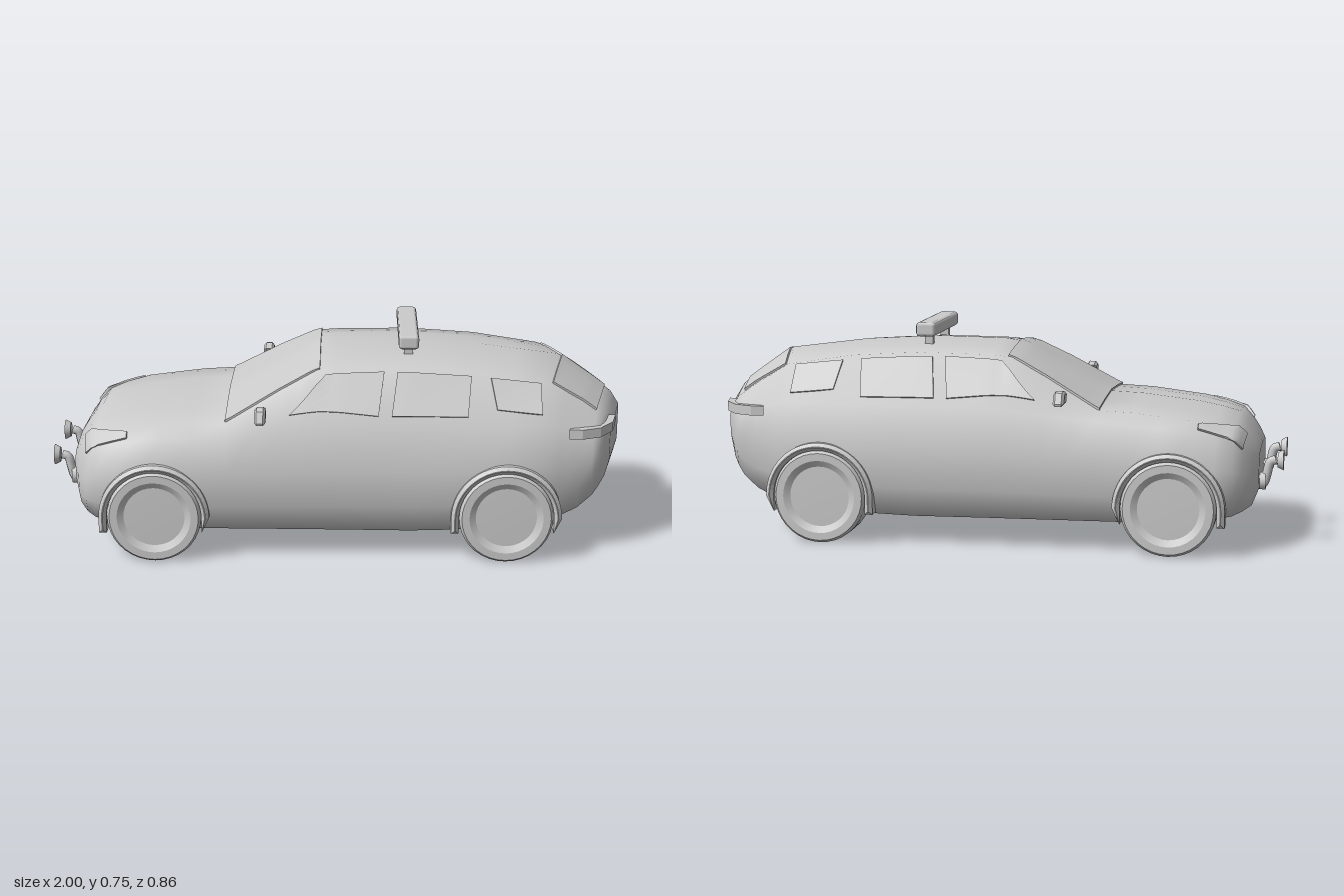
import * as THREE from 'three';
import { toCreasedNormals } from 'three/addons/utils/BufferGeometryUtils.js';
import { RoundedBoxGeometry } from 'three/addons/geometries/RoundedBoxGeometry.js';

const material = new THREE.MeshStandardMaterial({ color: 0xcccccc, side: THREE.DoubleSide });

function add(parent, name, geometry, x = 0, y = 0, z = 0) {
  const mesh = new THREE.Mesh(geometry, material);
  mesh.name = name;
  mesh.position.set(x, y, z);
  parent.add(mesh);
  return mesh;
}

// Piecewise linear curve through [x, value] keys
function curve(keys) {
  return x => {
    if (x <= keys[0][0]) return keys[0][1];
    for (let i = 1; i < keys.length; i++) {
      const [a, va] = keys[i - 1], [b, vb] = keys[i];
      if (x <= b) return va + (vb - va) * (x - a) / (b - a);
    }
    return keys[keys.length - 1][1];
  };
}

// Body lines along the length; the car drives towards -x
const topY = curve([[-.92, .34], [-.89, .39], [-.85, .443], [-.74, .473], [-.5, .5], [-.38, .505],
  [-.2, .6], [-.07, .675], [0, .685], [.25, .688], [.5, .672], [.78, .635], [.9, .55], [.97, .498], [1, .45]]);
const bottomY = curve([[-.92, .2], [-.9, .15], [-.82, .112], [-.5, .09], [.3, .08], [.7, .1],
  [.83, .122], [.9, .155], [.95, .2], [.985, .26], [1, .32]]);
const edgeDrop = curve([[-.92, .012], [-.84, .022], [-.38, .022], [-.2, .016], [-.07, .026], [0, .03], [.78, .03],
  [.9, .014], [1, .01]]);
const edgeW = curve([[-.92, .16], [-.9, .2], [-.84, .26], [-.7, .312], [-.38, .325], [-.2, .287],
  [-.05, .25], [.78, .247], [.9, .26], [.97, .27], [1, .22]]);
const beltY = curve([[-.92, .315], [-.84, .395], [-.7, .425], [-.38, .45], [0, .48], [.78, .48], [.97, .455], [1, .425]]);
const beltW = curve([[-.92, .19], [-.9, .24], [-.84, .322], [-.7, .362], [-.38, .362], [0, .355], [.78, .345],
  [.97, .315], [1, .25]]);
const midW = curve([[-.92, .2], [-.9, .275], [-.87, .335], [-.82, .374], [-.7, .391], [.5, .391], [.78, .377],
  [.97, .325], [1, .26]]);
const sweep = curve([[.45, 0], [.8, .23], [1, .23]]);
const stations = [-.92, -.9, -.87, -.84, -.78, -.7, -.6, -.5, -.38, -.29, -.2, -.13, -.07, 0, .12,
  .25, .38, .5, .64, .78, .84, .9, .95, .97, .985, 1];

// Half section from roof centre to floor centre, as [z, y]
function section(s) {
  const top = topY(s), drop = edgeDrop(s), low = bottomY(s), belt = beltY(s), w = midW(s);
  const at = f => low + (belt - low) * f;
  return [[0, top], [edgeW(s) * .55, top - drop * .45], [edgeW(s), top - drop], [beltW(s), belt],
    [w, at(.62)], [w - .005, at(.3)], [w - .04, at(.05)], [0, low]];
}

// Body surface point; t runs 0..7 down the +z side, negative on the other side
function surface(s, t) {
  const ring = section(s), a = Math.min(Math.abs(t), 7), i = Math.min(Math.floor(a), 6), f = a - i;
  const z = ring[i][0] * (1 - f) + ring[i + 1][0] * f;
  const y = ring[i][1] * (1 - f) + ring[i + 1][1] * f;
  return new THREE.Vector3(s - sweep(s) * z, y, t < 0 ? -z : z);
}

// Section parameter of a given height on the side
function sideT(s, y) {
  const ring = section(s);
  for (let i = 1; i < 7; i++) {
    if (y >= ring[i + 1][1]) return i + (ring[i][1] - y) / (ring[i][1] - ring[i + 1][1]);
  }
  return 6;
}

function mesh(points, index, crease) {
  const geometry = new THREE.BufferGeometry().setFromPoints(points);
  geometry.setIndex(index);
  return toCreasedNormals(geometry, crease);
}

function bodyGeometry() {
  const points = [], index = [], n = 14, last = stations.length - 1;
  for (const s of stations) {
    for (let j = 0; j < n; j++) points.push(surface(s, j <= 7 ? j : j - n));
  }
  for (let i = 0; i < last; i++) {
    for (let j = 0; j < n; j++) {
      const a = i * n + j, c = i * n + (j + 1) % n;
      index.push(a, c, a + n, c, c + n, a + n);
    }
  }
  // Nose and tail caps
  for (const i of [0, last]) {
    const centre = points.length;
    const s = stations[i];
    points.push(new THREE.Vector3(s, (topY(s) + bottomY(s)) / 2, 0));
    for (let j = 0; j < n; j++) {
      const a = i * n + j, b = i * n + (j + 1) % n;
      if (i) index.push(centre, a, b); else index.push(centre, b, a);
    }
  }
  return mesh(points, index, 1.2);
}

// Thin panel hugging the body between four [s, t] corners
function panel(corners) {
  const points = [], index = [], nu = 12, nv = 8, cols = nv + 3;
  const [p, q, r, o] = corners;
  for (let i = -1; i <= nu + 1; i++) {
    for (let j = -1; j <= nv + 1; j++) {
      const u = THREE.MathUtils.clamp(i / nu, 0, 1), v = THREE.MathUtils.clamp(j / nv, 0, 1);
      const [s, t] = [0, 1].map(k => (p[k] * (1 - u) + q[k] * u) * (1 - v) + (o[k] * (1 - u) + r[k] * u) * v);
      const ds = surface(s + .004, t).sub(surface(s - .004, t));
      const dt = surface(s, t + .02).sub(surface(s, t - .02));
      const rim = i < 0 || j < 0 || i > nu || j > nv;
      points.push(surface(s, t).addScaledVector(dt.cross(ds).normalize(), rim ? -.004 : .007));
    }
  }
  for (let i = 0; i < nu + 2; i++) {
    for (let j = 0; j < nv + 2; j++) {
      const a = i * cols + j, b = a + cols;
      index.push(a, a + 1, b, a + 1, b + 1, b);
    }
  }
  return mesh(points, index, .6);
}

// Corners given as [x, y]: top front, top rear, bottom rear, bottom front
function sidePanels(parent, name, corners) {
  const c = corners.map(([s, y]) => [s, sideT(s, y)]);
  add(parent, name, panel(c));
  add(parent, name, panel([c[3], c[2], c[1], c[0]].map(([s, t]) => [s, -t])));
}

function archGeometry() {
  const R = .19, r = .163, foot = -.055;
  const shape = new THREE.Shape();
  shape.moveTo(R, foot);
  shape.absarc(0, 0, R, 0, Math.PI, false);
  shape.lineTo(-R, foot);
  shape.lineTo(-r, foot);
  shape.absarc(0, 0, r, Math.PI, 0, true);
  shape.lineTo(r, foot);
  return new THREE.ExtrudeGeometry(shape, { depth: .05, curveSegments: 14, bevelThickness: .01, bevelSize: .012,
    bevelOffset: -.012, bevelSegments: 1 });
}

export function createModel() {
  const car = new THREE.Group();
  car.name = 'car';
  add(car, 'body', bodyGeometry());

  // Glass
  add(car, 'windshield', panel([[-.385, -1.95], [-.06, -1.95], [-.06, 1.95], [-.385, 1.95]]));
  add(car, 'rearWindow', panel([[.79, -1.9], [.945, -1.8], [.945, 1.8], [.79, 1.9]]));
  sidePanels(car, 'frontSideWindow', [[-.04, .635], [.16, .645], [.14, .51], [-.165, .512]]);
  sidePanels(car, 'middleSideWindow', [[.205, .643], [.46, .63], [.445, .507], [.185, .51]]);
  sidePanels(car, 'rearSideWindow', [[.54, .623], [.745, .603], [.765, .512], [.57, .528]]);

  // Headlights on the nose corners
  sidePanels(car, 'headlight', [[-.875, .395], [-.72, .445], [-.72, .43], [-.865, .36]]);

  // Wheels, arches, lamps, mirrors and front spotlights on each side
  const tyre = [[0, .29], [.148, .29], [.162, .302], [.162, .39], [.153, .403], [.127, .403], [.105, .39], [0, .392]];
  const wheel = toCreasedNormals(new THREE.LatheGeometry(tyre.map(p => new THREE.Vector2(...p)), 36).rotateX(Math.PI / 2), .5);
  const arch = archGeometry();
  const tailShape = new THREE.Shape([[.79, .345], [.835, .349], [.9, .322], [.949, .256], [.967, .18], [.85, .18]]
    .map(([x, z]) => new THREE.Vector2(x, -z)));
  const tailLight = new THREE.ExtrudeGeometry(tailShape, { depth: .034, bevelEnabled: false }).rotateX(-Math.PI / 2);
  const mirrorShape = new THREE.Shape([[.345, .548], [.363, .51], [.375, .507], [.43, .508], [.432, .516],
    [.415, .552], [.395, .557]].map(p => new THREE.Vector2(-p[0], p[1])));
  const mirror = new THREE.ExtrudeGeometry(mirrorShape, { depth: .022, bevelThickness: .008, bevelSize: .01,
    bevelOffset: -.01, bevelSegments: 1 }).rotateY(Math.PI / 2);
  const bracket = new THREE.CatmullRomCurve3([[-.975, .3], [-.955, .293], [-.943, .25], [-.93, .215], [-.89, .21]]
    .map(([x, y]) => new THREE.Vector3(x, y, 0)));
  for (const side of [1, -1]) {
    const half = new THREE.Group();
    half.name = side > 0 ? 'frontFacingSide' : 'farSide';
    half.scale.z = side;
    car.add(half);
    for (const x of [-.63, .58]) {
      add(half, 'wheel', wheel, x, .164, 0);
      add(half, 'wheelArch', arch, x, .163, .348);
    }
    add(half, 'tailLight', tailLight, 0, .434, 0);
    add(half, 'mirror', mirror, -.272, 0, 0);
    add(half, 'mirrorStalk', new THREE.BoxGeometry(.02, .018, .06), -.255, .525, .345);
    add(half, 'spotlight', new THREE.CylinderGeometry(.026, .036, .02, 20).rotateZ(-Math.PI / 2), -.99, .3, .135);
    add(half, 'spotlightBracket', new THREE.TubeGeometry(bracket, 16, .016, 8), 0, 0, .135);
    add(half, 'bracketMount', new THREE.CylinderGeometry(.03, .03, .02, 16).rotateZ(Math.PI / 2), -.93, .225, .135);
    add(half, 'lightBarPost', new THREE.BoxGeometry(.03, .05, .022), .245, .69, .128);
  }

  // Roof light bar
  add(car, 'lightBar', new RoundedBoxGeometry(.07, .05, .395, 1, .012), .245, .73, 0);
  return car;
}
